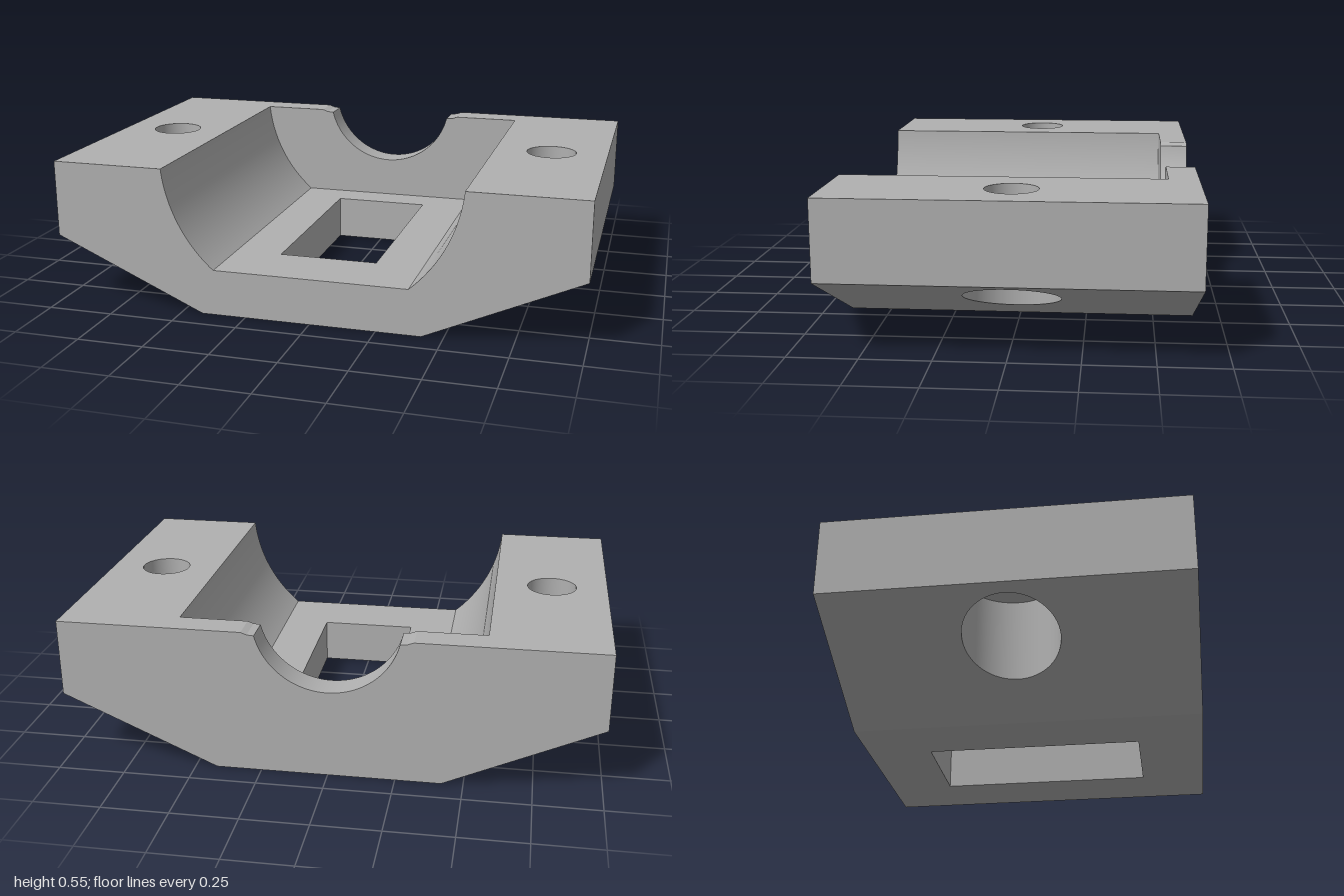
import * as THREE from 'three';

const W = 1, D = 0.65, H = 0.55;          // half width, half depth, height
const FOOT = 0.42, SHOULDER = 0.26;       // flat underside half width, lower edge of the sides
const AXIS_Y = 0.605, FLOOR = 0.175;      // axis of both round cuts, channel floor height
const R_CHANNEL = 0.568, R_NOTCH = 0.27;
const WALL_Z = -0.54;                     // inner face of the back wall
const BOLT_X = 0.785, R_BOLT = 0.095, R_BORE = 0.173, SEAT = 0.4;
const WIN_X = 0.19, WIN_Z = 0.405;

const steel = new THREE.MeshStandardMaterial({ color: 0xb0b0b0 });
steel.name = 'plain grey';

// Ways of placing a flat outline (u, v) in space, named by the way it faces
const up = y => (u, v) => [u, y, -v];
const down = f => (u, v) => [u, f(u), v];
const front = z => (u, v) => [u, v, z];
const back = z => (u, v) => [-u, v, z];
const side = (x, s) => (u, v) => [x, v, -s * u];

const rect = (a, b, c, d) => [[a, b], [c, b], [c, d], [a, d]];
const circle = (x, r, n = 64) => Array.from({ length: n }, (_, i) => {
  const t = (i / n) * Math.PI * 2;
  return [x + r * Math.cos(t), r * Math.sin(t)];
});
const vectors = pts => pts.map(p => new THREE.Vector2(p[0], p[1]));

// Arc about the round-cut axis, between two heights, on the left (-1) or right (+1)
function arc(r, from, to, n = 24) {
  return Array.from({ length: n + 1 }, (_, i) => {
    const t = from + ((to - from) * i) / n;
    return [r * Math.cos(t), AXIS_Y + r * Math.sin(t)];
  });
}

export function createModel() {
  const group = new THREE.Group();
  const add = (name, geo) => {
    const mesh = new THREE.Mesh(geo, steel);
    mesh.name = name;
    group.add(mesh);
  };

  // Flat face with optional holes
  function face(name, outline, place, holes = []) {
    const shape = new THREE.Shape(vectors(outline));
    holes.forEach(h => shape.holes.push(new THREE.Path(vectors(h))));
    const geo = new THREE.ShapeGeometry(shape);
    const p = geo.attributes.position;
    for (let i = 0; i < p.count; i++) p.setXYZ(i, ...place(p.getX(i), p.getY(i)));
    geo.computeVertexNormals();
    add(name, geo);
  }

  // Strip following a left-to-right path in x, y, running from z0 (back) to z1 (front)
  function strip(name, path, z0, z1) {
    const n = path.length;
    const geo = new THREE.PlaneGeometry(1, 1, n - 1, 1);
    const p = geo.attributes.position;
    for (let i = 0; i < p.count; i++) {
      p.setXYZ(i, path[i % n][0], path[i % n][1], i < n ? z0 : z1);
    }
    geo.computeVertexNormals();
    add(name, geo);
  }

  // Inward-facing round wall of a vertical hole
  function bore(name, x, r, bottom, top) {
    const geo = new THREE.CylinderGeometry(r, r, 1, 64, 1, true);
    const p = geo.attributes.position, nor = geo.attributes.normal;
    for (let i = 0; i < p.count; i++) {
      const px = p.getX(i) + x;
      p.setXYZ(i, px, p.getY(i) > 0 ? top : bottom(px), p.getZ(i));
      nor.setXYZ(i, -nor.getX(i), 0, -nor.getZ(i));
    }
    const idx = Array.from(geo.index.array).reverse();
    geo.setIndex(idx);
    add(name, geo);
  }

  const slope = x => ((Math.abs(x) - FOOT) * SHOULDER) / (W - FOOT);

  // Section curves
  const topAngle = Math.asin((H - AXIS_Y) / R_CHANNEL);
  const floorAngle = Math.asin((FLOOR - AXIS_Y) / R_CHANNEL);
  const channelLow = arc(R_CHANNEL, -Math.PI - topAngle, -Math.PI - floorAngle);
  const channelHigh = arc(R_CHANNEL, floorAngle, topAngle);
  const channel = [...channelLow, ...channelHigh];
  const floorX = channelHigh[0][0], rimX = channelHigh.at(-1)[0];

  const lipAngle = Math.asin((0.54 - AXIS_Y) / R_NOTCH);
  const notchArc = arc(R_NOTCH, -Math.PI - lipAngle, lipAngle, 48);
  const lip = [[-0.31, H], [-0.288, 0.542], notchArc[0]];
  const lipMirror = lip.map(([x, y]) => [-x, y]).reverse();
  const notch = [lip[0], lip[1], ...notchArc, lipMirror[1], lipMirror[2]];

  // Front and back ends, and the inner face of the back wall
  const under = [[W, H], [W, SHOULDER], [FOOT, 0], [-FOOT, 0], [-W, SHOULDER], [-W, H]];
  face('frontEnd', [...under, ...channel], front(D));
  face('backEnd', [...under, ...notch], back(-D));
  face('backWallInside', [...channel, ...[...notch].reverse()], front(WALL_Z));

  // Channel
  strip('channelWall', channelLow, WALL_Z, D);
  strip('channelWall', channelHigh, WALL_Z, D);
  const windowHole = rect(-WIN_X, -WIN_Z, WIN_X, WIN_Z);
  face('channelFloor', rect(-floorX, -D, floorX, -WALL_Z), up(FLOOR), [windowHole]);

  // Round notch in the back wall with its small stepped lips
  strip('notch', notchArc, -D, WALL_Z);
  for (const l of [lip, lipMirror]) {
    strip('notchLip', l.slice(0, 2), -D, WALL_Z);
    strip('notchLip', l.slice(1), -D, WALL_Z);
  }

  // Underside and window
  face('underside', rect(-FOOT, -D, FOOT, D), down(() => 0), [windowHole]);
  face('windowEnd', rect(-WIN_X, 0, WIN_X, FLOOR), front(-WIN_Z));
  face('windowEnd', rect(-WIN_X, 0, WIN_X, FLOOR), back(WIN_Z));

  // Mirrored shoulders with bolt holes
  for (const s of [1, -1]) {
    face('windowSide', rect(-WIN_Z, 0, WIN_Z, FLOOR), side(s * WIN_X, -s));
    face('outerSide', rect(-D, SHOULDER, D, H), side(s * W, s));
    face('topFace', [[s * W, -D], [s * W, D], [s * 0.31, D], [s * 0.31, -WALL_Z],
      [s * rimX, -WALL_Z], [s * rimX, -D]], up(H), [circle(s * BOLT_X, R_BOLT)]);
    face('slopedUnderside', rect(s * FOOT, -D, s * W, D), down(slope), [circle(s * BOLT_X, R_BORE)]);
    bore('boltHole', s * BOLT_X, R_BOLT, () => SEAT, H);
    bore('counterbore', s * BOLT_X, R_BORE, slope, SEAT);
    face('boltSeat', circle(s * BOLT_X, R_BORE), down(() => SEAT), [circle(s * BOLT_X, R_BOLT)]);
  }
  return group;
}
